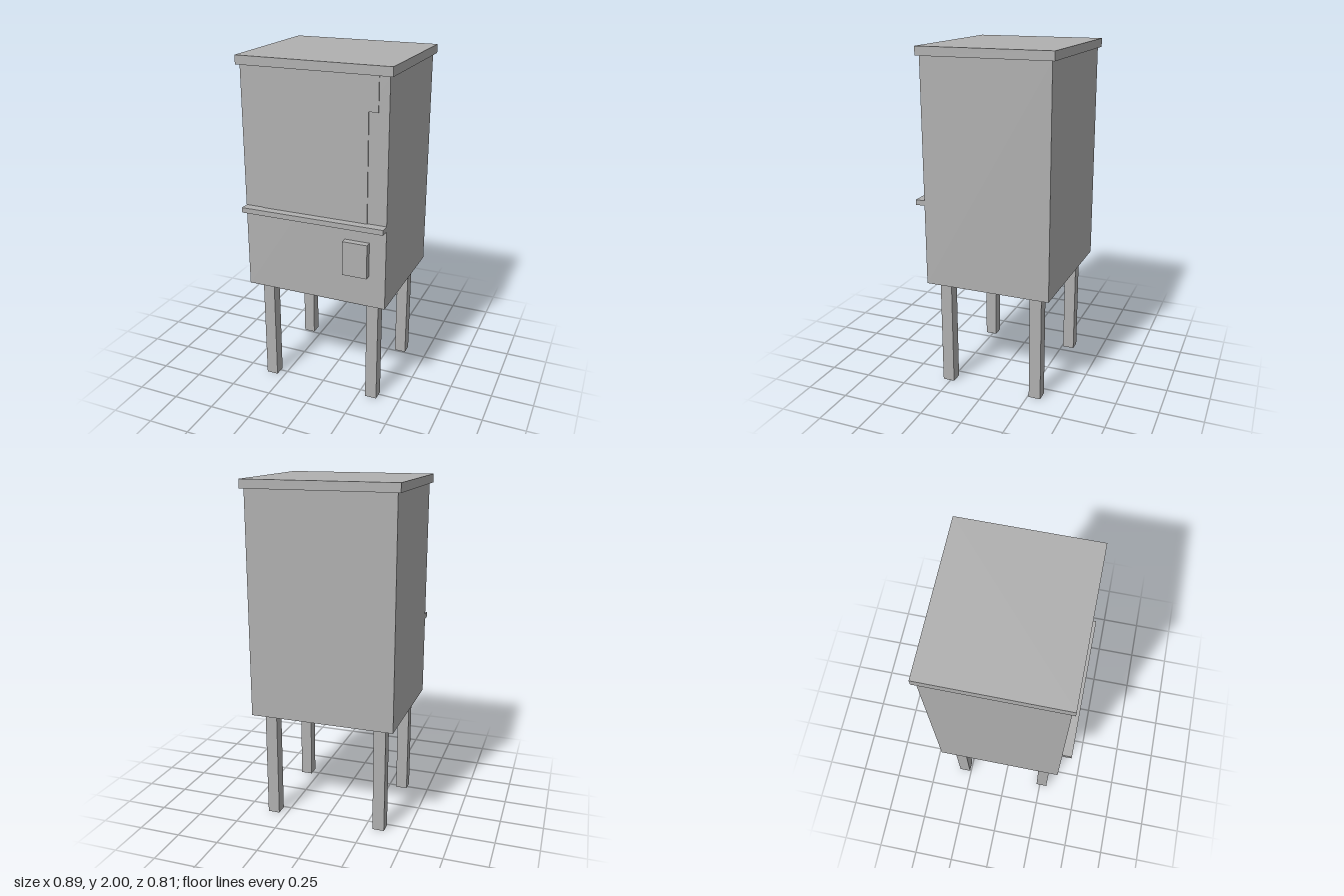
import * as THREE from 'three';

const FRONT = 0.353, CENTER_Z = -0.018;

// Box without its underside, as a thin shell, placed by its extents
function openBox(name, material, x0, x1, y0, y1, z0, z1) {
  const geometry = new THREE.BoxGeometry(x1 - x0, y1 - y0, z1 - z0);
  const index = Array.from(geometry.index.array);
  index.splice(18, 6); // drop the bottom face
  geometry.setIndex(index);
  geometry.clearGroups();
  const mesh = new THREE.Mesh(geometry, material);
  mesh.name = name;
  mesh.position.set((x0 + x1) / 2, (y0 + y1) / 2, (z0 + z1) / 2);
  return mesh;
}

export function createModel() {
  const group = new THREE.Group();
  group.name = 'cabinetOnLegs';
  const grey = new THREE.MeshStandardMaterial({ color: 0xb0b0b0, side: THREE.DoubleSide });
  grey.name = 'plain grey';

  // Cabinet shell and overhanging lid
  group.add(openBox('cabinet', grey, -0.425, 0.425, 0.65, 1.95, CENTER_Z - 0.371, FRONT));
  group.add(openBox('lid', grey, -0.444, 0.444, 1.95, 2, CENTER_Z - 0.389, CENTER_Z + 0.387));

  // Front ledge and small box below it
  group.add(openBox('ledge', grey, -0.425, 0.425, 1.12, 1.15, FRONT, 0.407));
  group.add(openBox('frontBox', grey, 0.184, 0.329, 0.837, 1.038, FRONT, 0.391));

  // Stepped front panel, wider at the top
  const outline = [[0.315, 1.15], [0.315, 1.763], [0.368, 1.763], [0.368, 1.95]];
  const mirrored = outline.map(([x, y]) => [-x, y]).reverse();
  const shape = new THREE.Shape([...outline, ...mirrored].map(([x, y]) => new THREE.Vector2(x, y)));
  const panel = new THREE.Mesh(
    new THREE.ExtrudeGeometry(shape, { depth: 0.006, bevelEnabled: false }), grey);
  panel.name = 'frontPanel';
  panel.position.z = FRONT;
  group.add(panel);

  // Four square hollow legs
  for (const [side, x] of [['Left', 0.332], ['Right', -0.332]]) {
    for (const [end, z] of [['front', 0.262], ['back', -0.293]]) {
      group.add(openBox(`${end}${side}Leg`, grey, x - 0.035, x + 0.035, 0, 0.65, z - 0.035, z + 0.035));
    }
  }
  return group;
}
